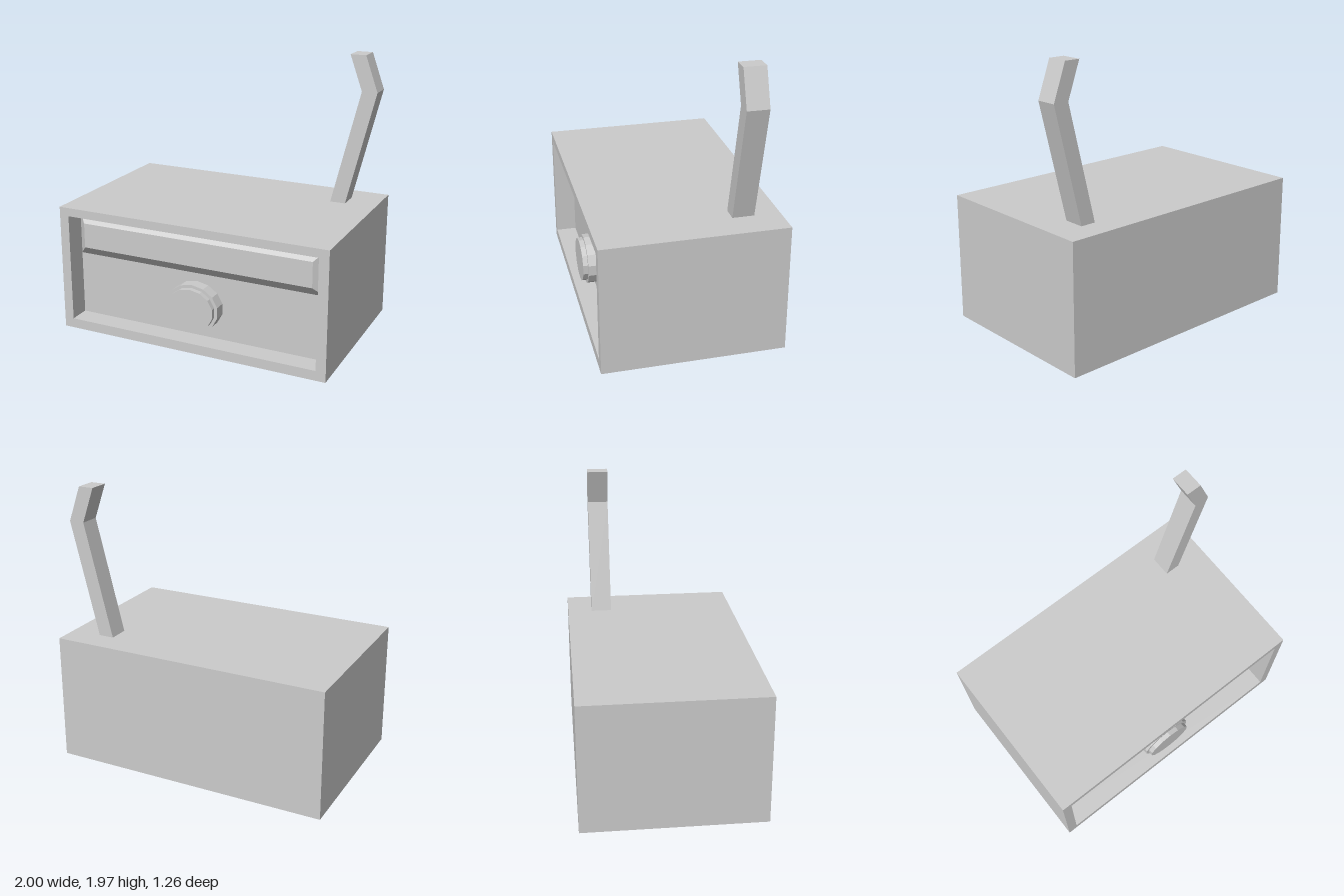
import * as THREE from 'three';

const material = new THREE.MeshStandardMaterial({ color: 0xcccccc, flatShading: true });

function addMesh(parent, name, geometry, x = 0, y = 0, z = 0) {
  const mesh = new THREE.Mesh(geometry, material);
  mesh.name = name;
  mesh.position.set(x, y, z);
  parent.add(mesh);
  return mesh;
}

function polygon(points) {
  return points.map(([x, y]) => new THREE.Vector2(x, y));
}

function extrude(shape, depth) {
  return new THREE.ExtrudeGeometry(shape, { depth, bevelEnabled: false });
}

export function createModel() {
  const model = new THREE.Group();
  model.name = 'radio';

  const front = 0.63, back = -0.63, height = 0.91;
  const panelZ = 0.48; // depth of the recessed front panel

  // Solid cabinet behind the panel
  addMesh(model, 'cabinet', new THREE.BoxGeometry(2, height, panelZ - back),
    0, height / 2, (panelZ + back) / 2);

  // Rim around the recessed front
  const rim = new THREE.Shape(polygon([[-1, 0], [1, 0], [1, height], [-1, height]]));
  rim.holes.push(new THREE.Path(polygon([[-0.93, 0.07], [-0.93, 0.85], [0.93, 0.85], [0.93, 0.07]])));
  addMesh(model, 'frontRim', extrude(rim, front - panelZ), 0, 0, panelZ);

  // Raised display: a box whose front face is drawn in to bevel the sides
  const display = new THREE.BoxGeometry(1.86, 0.32, 0.065);
  const p = display.attributes.position;
  for (let i = 0; i < p.count; i++) {
    if (p.getZ(i) > 0) {
      p.setX(i, p.getX(i) - Math.sign(p.getX(i)) * 0.07);
      p.setY(i, p.getY(i) - Math.sign(p.getY(i)) * 0.07);
    }
  }
  display.computeVertexNormals();
  addMesh(model, 'display', display, 0, 0.69, panelZ + 0.0325);

  // Stepped dial, slightly wider than tall
  const dial = new THREE.Group();
  dial.name = 'dial';
  dial.position.set(0, 0.3, panelZ);
  model.add(dial);
  for (const [name, rx, ry, z0, z1] of [
    ['dialBase', 0.197, 0.172, 0, 0.08],
    ['dialCap', 0.174, 0.151, 0.08, 0.115],
  ]) {
    const disc = new THREE.CylinderGeometry(1, 1, z1 - z0, 14).rotateX(Math.PI / 2).scale(rx, ry, 1);
    addMesh(dial, name, disc, 0, 0, (z0 + z1) / 2);
  }

  // Bent aerial standing on the top
  const aerial = new THREE.Shape(polygon([
    [0.67, height], [0.78, height], [0.98, 1.72], [0.89, 1.97], [0.78, 1.97], [0.87, 1.72],
  ]));
  addMesh(model, 'aerial', extrude(aerial, 0.15), 0, 0, -0.45);

  return model;
}
